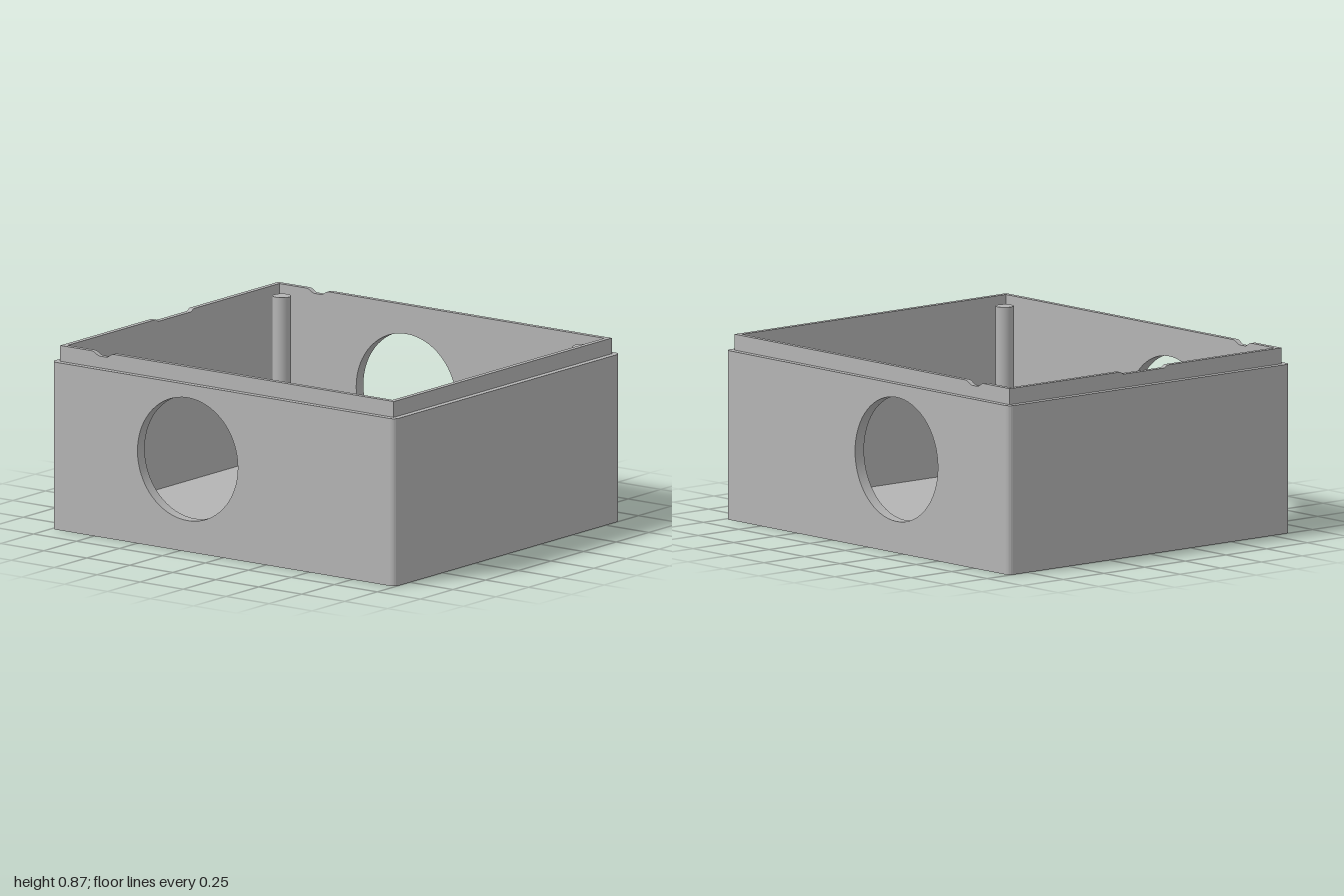
import * as THREE from 'three';
import { toCreasedNormals } from 'three/addons/utils/BufferGeometryUtils.js';

const W = 0.865, D = 1;            // outer half width and half depth
const LW = 0.835, LD = 0.97;       // outer half sizes of the lip
const IW = 0.81, ID = 0.945;       // inner half sizes of the cavity
const WALL = 0.795, TOP = 0.87, FLOOR = 0.06;

export function createModel() {
  const model = new THREE.Group();
  const grey = new THREE.MeshStandardMaterial({ color: 0xb4b4b4 });
  grey.name = 'grey plastic';

  const add = (name, geometry) => {
    const mesh = new THREE.Mesh(geometry, grey);
    mesh.name = name;
    model.add(mesh);
    return mesh;
  };
  const extrude = (shape, depth) => toCreasedNormals(
    new THREE.ExtrudeGeometry(shape, { depth, bevelEnabled: false, curveSegments: 32 }), 0.6);
  const box = (x0, x1, y0, y1, z0, z1) =>
    new THREE.BoxGeometry(x1 - x0, y1 - y0, z1 - z0)
      .translate((x0 + x1) / 2, (y0 + y1) / 2, (z0 + z1) / 2);

  // Strip outline whose top edge has a smooth dip between a and b
  const dippedStrip = (half, a, b, ramp, depth) => {
    const s = new THREE.Shape();
    const low = TOP - depth;
    s.moveTo(-half, WALL);
    s.lineTo(half, WALL);
    s.lineTo(half, TOP);
    s.lineTo(b, TOP);
    s.bezierCurveTo(b - ramp / 2, TOP, b - ramp / 2, low, b - ramp, low);
    s.lineTo(a + ramp, low);
    s.bezierCurveTo(a + ramp / 2, low, a + ramp / 2, TOP, a, TOP);
    s.lineTo(-half, TOP);
    s.closePath();
    return s;
  };

  // Floor
  add('floor', box(-IW, IW, 0, FLOOR, -ID, ID));

  // Side walls with a round opening
  const side = new THREE.Shape();
  side.moveTo(-LD, 0);
  side.lineTo(LD, 0);
  side.lineTo(LD, WALL);
  side.lineTo(-LD, WALL);
  side.closePath();
  const opening = new THREE.Path();
  opening.absarc(0.206, 0.44, 0.292, 0, Math.PI * 2, true);
  side.holes.push(opening);

  // Side lips, each with a small rounded notch near the back
  const sideLip = dippedStrip(LD, 0.655, 0.79, 0.055, 0.019);
  for (const s of [1, -1]) {
    const label = s > 0 ? 'left' : 'right';
    add(label + 'Wall', extrude(side, W - IW).rotateY(Math.PI / 2)
      .translate(s > 0 ? IW : -W, 0, 0));
    add(label + 'Lip', extrude(sideLip, LW - IW).rotateY(Math.PI / 2)
      .translate(s > 0 ? IW : -LW, 0, 0));
  }

  // Front and back walls, the back lip having a wide shallow dip
  add('frontWall', box(-IW, IW, 0, WALL, ID, D));
  add('backWall', box(-IW, IW, 0, WALL, -D, -ID));
  add('frontLip', box(-IW, IW, WALL, TOP, ID, LD));
  add('backLip', extrude(dippedStrip(IW, -0.14, 0.16, 0.03, 0.012), LD - ID)
    .translate(0, 0, -LD));

  // Rounded vertical corners
  for (const sx of [1, -1]) {
    for (const sz of [1, -1]) {
      const c = new THREE.Shape();
      c.moveTo(sx * IW, sz * LD);
      c.lineTo(sx * W, sz * LD);
      c.absarc(sx * LW, sz * LD, W - LW, sx > 0 ? 0 : Math.PI, sz * Math.PI / 2, sx * sz < 0);
      c.lineTo(sx * IW, sz * D);
      c.closePath();
      // Shape y becomes +z, running downwards from the wall top
      add('corner', extrude(c, WALL).rotateX(Math.PI / 2).translate(0, WALL, 0));
    }
  }

  // Four screw posts
  const postHeight = 0.835 - FLOOR;
  for (const x of [-0.738, 0.738]) {
    for (const z of [-0.875, 0.87]) {
      add('post', new THREE.CylinderGeometry(0.043, 0.043, postHeight, 32))
        .position.set(x, FLOOR + postHeight / 2, z);
    }
  }

  return model;
}
